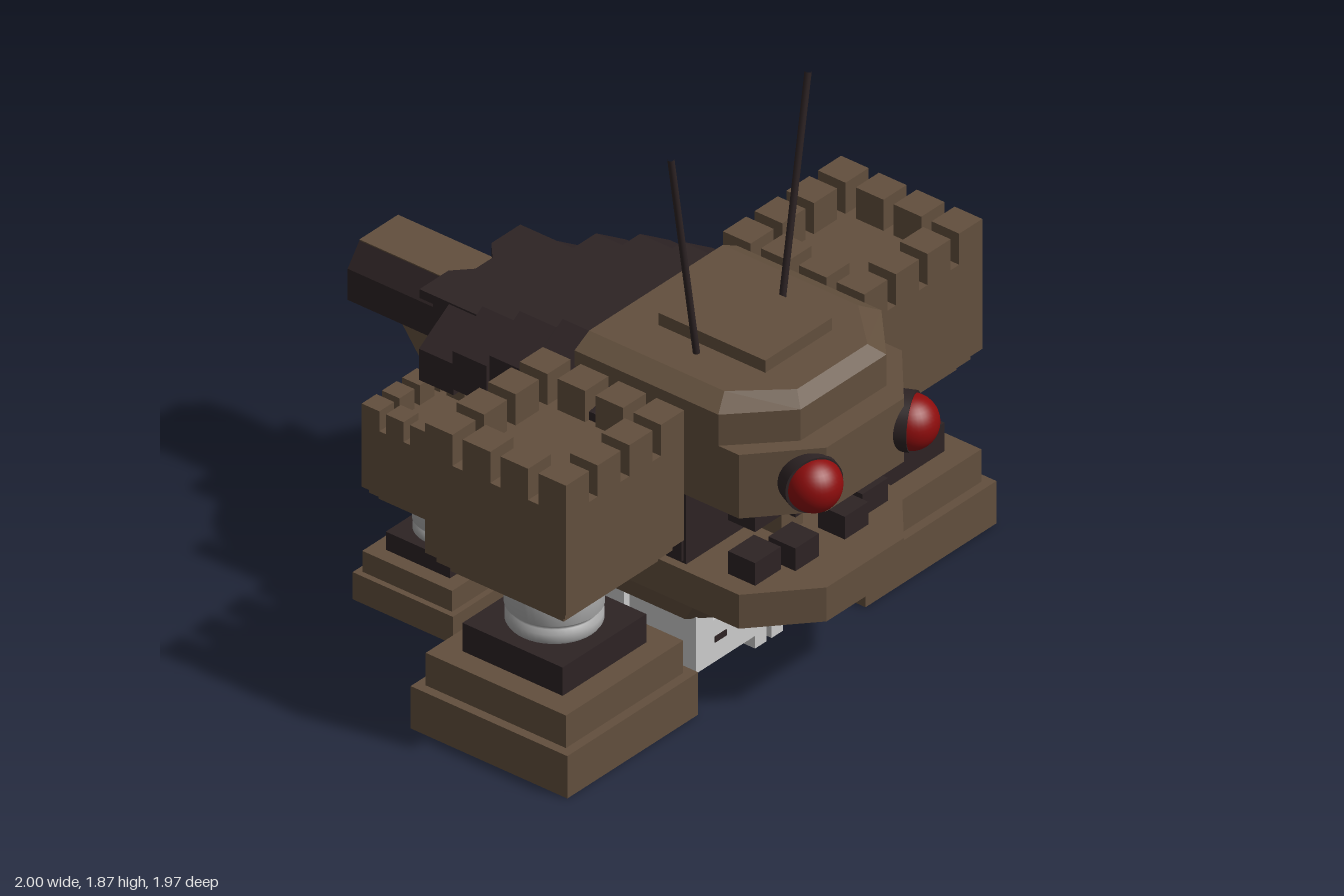
import * as THREE from 'three';

const mat = (name, color) => {
  const m = new THREE.MeshStandardMaterial({ color });
  m.name = name;
  return m;
};

export function createModel() {
  const brown = mat('brown armour', 0x624f3d);
  const dark = mat('dark frame', 0x2d2324);
  const steel = mat('steel', 0xa8a8a8);
  const pale = mat('pale panel', 0xcccccc);
  const red = mat('red eye', 0x8c0c0c);

  const model = new THREE.Group();
  model.name = 'fortressWalker';

  const add = (parent, name, geo, m) => {
    const mesh = new THREE.Mesh(geo, m);
    mesh.name = name;
    parent.add(mesh);
    return mesh;
  };
  // Box given by its extents on each axis
  const box = (parent, name, m, [x0, x1], [y0, y1], [z0, z1]) => {
    const g = new THREE.BoxGeometry(x1 - x0, y1 - y0, z1 - z0);
    g.translate((x0 + x1) / 2, (y0 + y1) / 2, (z0 + z1) / 2);
    return add(parent, name, g, m);
  };
  // Mirrored polygon from its half outline
  const mirrored = (half) => [...half, ...half.map(([x, y]) => [-x, y]).reverse()];
  const extrude = (points, depth) => new THREE.ExtrudeGeometry(
    new THREE.Shape(points.map(([x, y]) => new THREE.Vector2(x, y))), { depth, bevelEnabled: false });
  // Upright prism from an (x, z) half outline; one end may shrink towards z = pivot
  const prism = (name, m, half, y0, y1, taper = { top: [1, 1], bottom: [1, 1], pivot: 0 }) => {
    const g = extrude(mirrored(half.map(([x, z]) => [x, -z])), y1 - y0);
    g.rotateX(-Math.PI / 2).translate(0, y0, 0);
    const p = g.attributes.position;
    for (let i = 0; i < p.count; i++) {
      const [sx, sz] = p.getY(i) > (y0 + y1) / 2 ? taper.top : taper.bottom;
      p.setX(i, p.getX(i) * sx);
      p.setZ(i, taper.pivot + (p.getZ(i) - taper.pivot) * sz);
    }
    g.computeVertexNormals();
    return add(model, name, g, m);
  };
  // Prism running along z from an (x, y) half section
  const section = (name, m, half, z0, z1) =>
    add(model, name, extrude(mirrored(half), z1 - z0).translate(0, 0, z0), m);

  // Tower leg, standing on its own origin
  const pistonProfile = [[0.14, 0.36], [0.15, 0.375], [0.15, 0.4], [0.137, 0.412], [0.137, 0.42],
    [0.152, 0.432], [0.152, 0.51], [0.137, 0.52], [0.137, 0.53], [0.15, 0.537], [0.15, 0.56]]
    .map(([r, y]) => new THREE.Vector2(r, y));
  const leg = (name, x, z, scale) => {
    const g = new THREE.Group();
    g.name = name;
    const block = (n, m, h, y0, y1) => box(g, n, m, [-h, h], [y0, y1], [-h, h]);
    block('footBase', brown, 0.305, 0, 0.15);
    block('footStep', brown, 0.273, 0.15, 0.265);
    block('ankle', dark, 0.195, 0.265, 0.365);
    add(g, 'piston', new THREE.LatheGeometry(pistonProfile, 40), steel);
    block('towerLowerStep', brown, 0.22, 0.55, 0.585);
    block('towerUpperStep', brown, 0.25, 0.585, 0.62);
    block('tower', brown, 0.275, 0.62, 0.97);
    // Battlements around the rim
    const w = 0.1075, pitch = 0.1475;
    for (let i = 0; i < 4; i++) for (let j = 0; j < 4; j++) {
      if (i % 3 && j % 3) continue;
      const a = -0.275 + i * pitch, b = -0.275 + j * pitch;
      box(g, 'merlon', brown, [a, a + w], [0.97, 1.08], [b, b + w]);
    }
    g.position.set(x, 0, z);
    g.scale.setScalar(scale);
    model.add(g);
  };

  // Head: jaw-line block, bevelled crown and top plate
  prism('headLower', brown, [[0.38, -0.13], [0.38, 0.73], [0.18, 0.905]], 0.75, 0.975);
  const crown = [[0.38, 0.09], [0.38, 0.65], [0.2, 0.82]];
  prism('crown', brown, crown, 0.975, 1.085);
  prism('crownBevel', brown, crown, 1.085, 1.122, { top: [0.82, 0.94], bottom: [1, 1], pivot: 0.09 });
  box(model, 'crownPlate', brown, [-0.155, 0.155], [1.12, 1.165], [0.23, 0.645]);

  // Lower jaw and hull
  prism('lowerJaw', brown, [[0.38, -0.1], [0.38, 0.73], [0.18, 0.905]], 0.36, 0.48);
  prism('jawUnderside', brown, [[0.38, -0.14], [0.38, 0.55], [0.2, 0.72]], 0.29, 0.36,
    { top: [1, 1], bottom: [0.94, 0.93], pivot: -0.14 });
  box(model, 'hullRearPlate', brown, [-0.36, 0.36], [0.33, 0.59], [-0.14, -0.1]);
  box(model, 'tongue', brown, [-0.05, 0.05], [0.48, 0.56], [0.5, 0.62]);

  // Body core
  box(model, 'mouthWall', dark, [-0.35, 0.35], [0.48, 0.76], [-0.1, 0.5]);
  box(model, 'throatRib', dark, [-0.36, 0.36], [0.49, 0.62], [0.3, 0.49]);
  box(model, 'bodyCore', dark, [-0.3, 0.3], [0.72, 0.88], [-0.5, 0.1]);
  box(model, 'rearBody', dark, [-0.19, 0.19], [0.585, 0.88], [-0.62, -0.1]);

  // Overlapping back bands: half width, bottom, top, rear z, front z
  [[0.42, 0.88, 1.095, -0.04, 0.095], [0.42, 0.82, 1.055, -0.207, -0.065],
    [0.405, 0.775, 1.0, -0.365, -0.232], [0.375, 0.73, 0.93, -0.52, -0.385]]
    .forEach(([w, y0, y1, z0, z1]) => section('backBand', dark,
      [[w, y0], [w, y1 - 0.09], [w - 0.14, y1]], z0, z1));
  prism('tailCollar', dark,
    [[0, -0.575], [0.04, -0.58], [0.1, -0.635], [0.235, -0.635], [0.235, -0.385]].slice(1),
    0.905, 0.936);

  // Tail
  section('tail', dark, [[0.145, 0.71], [0.145, 0.82], [0.09, 0.893]], -0.99, -0.5);
  box(model, 'tailTopPlate', brown, [-0.09, 0.09], [0.89, 0.897], [-0.99, -0.56]);
  const wedge = extrude([[0.58, 0.585], [0.69, 0.585], [0.785, 0.712], [0.58, 0.712]], 0.28);
  add(model, 'tailWedge', wedge.rotateY(Math.PI / 2).translate(-0.14, 0, 0), brown);

  for (const s of [-1, 1]) {
    const span = (a, b) => (s > 0 ? [a, b] : [-b, -a]);
    const side = s > 0 ? 'left' : 'right';

    leg(side + 'FrontLeg', s * 0.695, 0.275, 1);
    leg(side + 'RearLeg', s * 0.363, -0.43, 0.64);

    // Shoulder axle
    const axle = add(model, side + 'Axle', new THREE.CylinderGeometry(0.1, 0.125, 0.14, 32), dark);
    axle.rotation.z = -s * Math.PI / 2;
    axle.position.set(s * 0.44, 0.9, 0.27);

    // Eye and its socket, turned outwards
    const socket = add(model, side + 'EyeSocket', new THREE.CylinderGeometry(0.095, 0.095, 0.1, 32), dark);
    socket.rotation.set(Math.PI / 2, 0, -s * 0.45);
    socket.position.set(s * 0.21, 0.865, 0.855);
    const eye = add(model, side + 'Eye', new THREE.SphereGeometry(0.089, 32, 20), red);
    eye.position.set(s * 0.226, 0.865, 0.893);

    // Antenna
    const path = new THREE.LineCurve3(
      new THREE.Vector3(s * 0.197, 1.1, 0.415), new THREE.Vector3(s * 0.32, 1.865, 0.415));
    add(model, side + 'Antenna', new THREE.TubeGeometry(path, 1, 0.011, 10), dark);

    // Teeth above and below
    for (const [y0, y1] of [[0.48, 0.56], [0.67, 0.755]]) {
      box(model, 'frontTooth', dark, span(0.06, 0.17), [y0, y1], [0.67, 0.775]);
      box(model, 'cornerTooth', dark, span(0.19, 0.31), [y0, y1], [0.63, 0.735]);
    }

    // Small struts below the hull
    box(model, 'frontStrut', brown, span(0.03, 0.15), [0.235, 0.3], [0.585, 0.67]);
    box(model, 'rearStrut', brown, span(0.03, 0.15), [0.235, 0.34], [-0.135, -0.045]);

    // Pale belly panels
    for (const z of [[-0.02, 0.25], [0.27, 0.53]]) {
      box(model, 'bellyPanel', pale, span(0.06, 0.34), [0.1, 0.25], z);
      box(model, 'bellyKeel', pale, span(0.012, 0.065), [0.055, 0.29], z);
      box(model, 'bellyRail', pale, span(0.26, 0.34), [0.25, 0.3], z);
    }
    box(model, 'bellySlot', dark, span(0.2, 0.255), [0.17, 0.19], [0.528, 0.534]);
  }
  return model;
}
